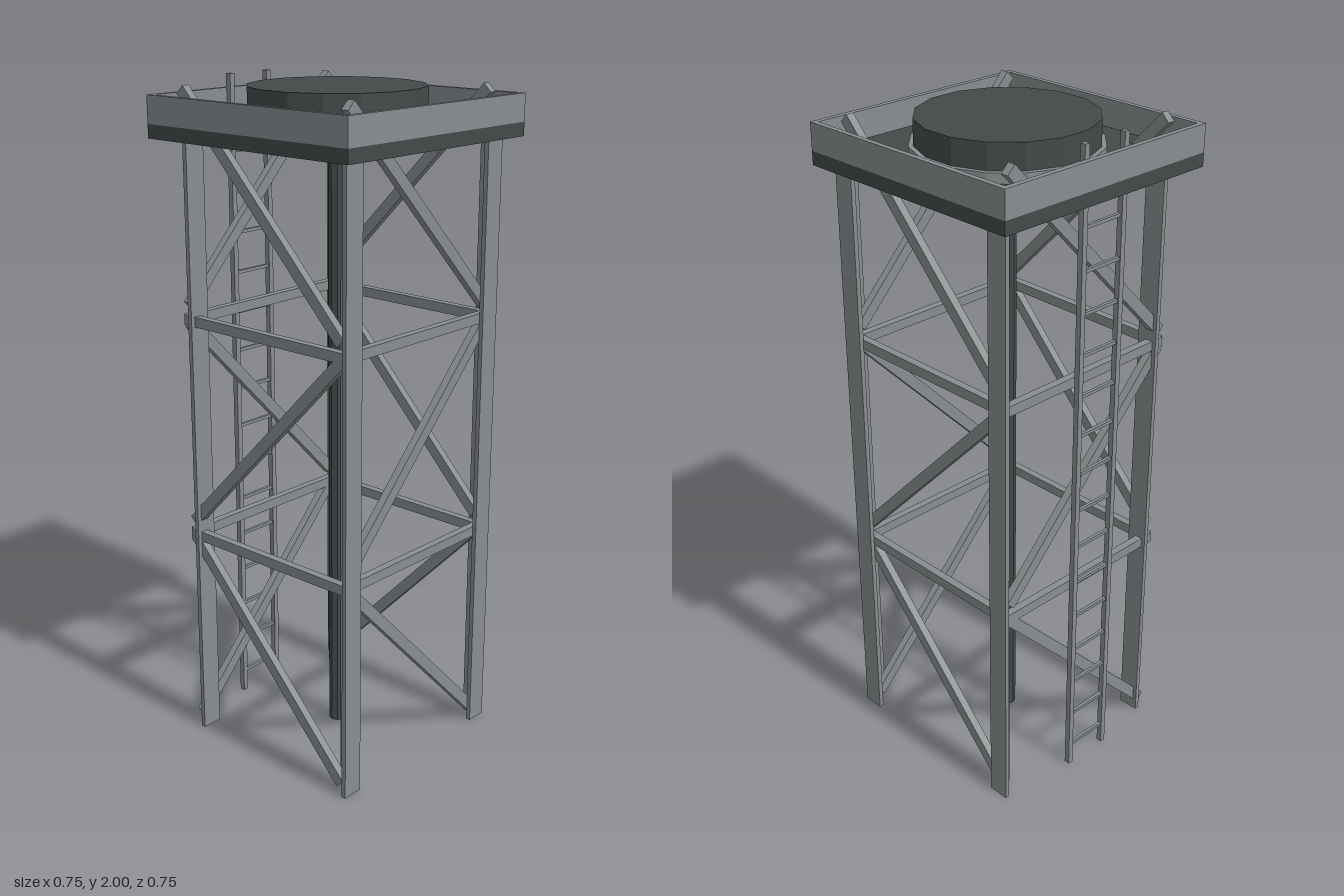
import * as THREE from 'three';

export function createModel() {
  const model = new THREE.Group();
  model.name = 'tower';
  const steel = new THREE.MeshStandardMaterial({ color: 0x888d8f });
  steel.name = 'light steel';
  const dark = new THREE.MeshStandardMaterial({ color: 0x434a4a });
  dark.name = 'dark steel';

  function add(parent, name, geometry, material, x = 0, y = 0, z = 0) {
    const mesh = new THREE.Mesh(geometry, material);
    mesh.name = name;
    mesh.position.set(x, y, z);
    parent.add(mesh);
    return mesh;
  }
  const box = (w, h, d) => new THREE.BoxGeometry(w, h, d);

  // Upright extrusion of a plan outline (shape y becomes -z)
  function upright(shape, height) {
    const g = new THREE.ExtrudeGeometry(shape, { depth: height, bevelEnabled: false });
    return g.rotateX(-Math.PI / 2);
  }

  // Angle-iron legs, all with the heel towards +x +z
  const w = 0.0325, t = 0.014;
  const angle = new THREE.Shape([
    [-w, -w], [w, -w], [w, w], [w - t, w], [w - t, -w + t], [-w, -w + t],
  ].map(([x, y]) => new THREE.Vector2(x, y)));
  const legGeometry = upright(angle, 1.85);
  for (const x of [-0.298, 0.298])
    for (const z of [-0.298, 0.298]) add(model, 'leg', legGeometry, steel, x, 0, z);

  // Bracing: one alternating diagonal per bay, repeated around the four sides
  const reach = 0.298, rise = 0.308;
  const diagonal = box(2 * Math.hypot(reach, rise), 0.034, 0.024);
  const horizontal = box(0.62, 0.03, 0.024);
  for (let side = 0; side < 4; side++) {
    const bracing = new THREE.Group();
    bracing.name = 'sideBracing';
    bracing.rotation.y = side * Math.PI / 2;
    for (let bay = 0; bay < 3; bay++) {
      const brace = add(bracing, 'diagonalBrace', diagonal, steel, 0, 0.335 + bay * 0.666, 0.306);
      brace.rotation.z = (bay % 2 ? 1 : -1) * Math.atan2(rise, reach);
    }
    for (const y of [0.65, 1.32]) add(bracing, 'horizontalBrace', horizontal, steel, 0, y, 0.306);
    model.add(bracing);
  }

  // Central pipe
  add(model, 'centralPipe', new THREE.CylinderGeometry(0.025, 0.025, 1.85, 8).toNonIndexed(), dark, 0, 0.925, 0)
    .geometry.computeVertexNormals();

  // Platform deck and its raised rim
  const half = 0.373, inner = 0.357;
  const square = (Type, s) => new Type([
    [-s, -s], [s, -s], [s, s], [-s, s],
  ].map(([x, y]) => new THREE.Vector2(x, y)));
  add(model, 'deck', box(half * 2, 0.04, half * 2), dark, 0, 1.86, 0);
  const rim = square(THREE.Shape, half);
  rim.holes.push(square(THREE.Path, inner));
  add(model, 'deckRim', upright(rim, 0.08), steel, 0, 1.88, 0);

  // Sixteen-sided raised disc with a collar at its foot
  const polygon = (Type, apothem) => new Type(Array.from({ length: 16 }, (_, i) => {
    const a = (i + 0.5) * Math.PI / 8, r = apothem / Math.cos(Math.PI / 16);
    return new THREE.Vector2(r * Math.cos(a), r * Math.sin(a));
  }));
  add(model, 'raisedDisc', upright(polygon(THREE.Shape, 0.25), 0.105), dark, 0, 1.88, 0);
  const collar = polygon(THREE.Shape, 0.264);
  collar.holes.push(polygon(THREE.Path, 0.25));
  add(model, 'discCollar', upright(collar, 0.03), steel, 0, 1.88, 0);

  // Ladder on the back
  const ladder = new THREE.Group();
  ladder.name = 'ladder';
  for (const x of [-0.074, 0.074]) add(ladder, 'ladderRail', box(0.017, 2, 0.017), steel, x, 1, -0.35);
  const rung = box(0.14, 0.01, 0.01);
  for (let i = 0; i < 16; i++) add(ladder, 'ladderRung', rung, steel, 0, 0.07 + i * 0.122, -0.35);
  model.add(ladder);

  return model;
}
